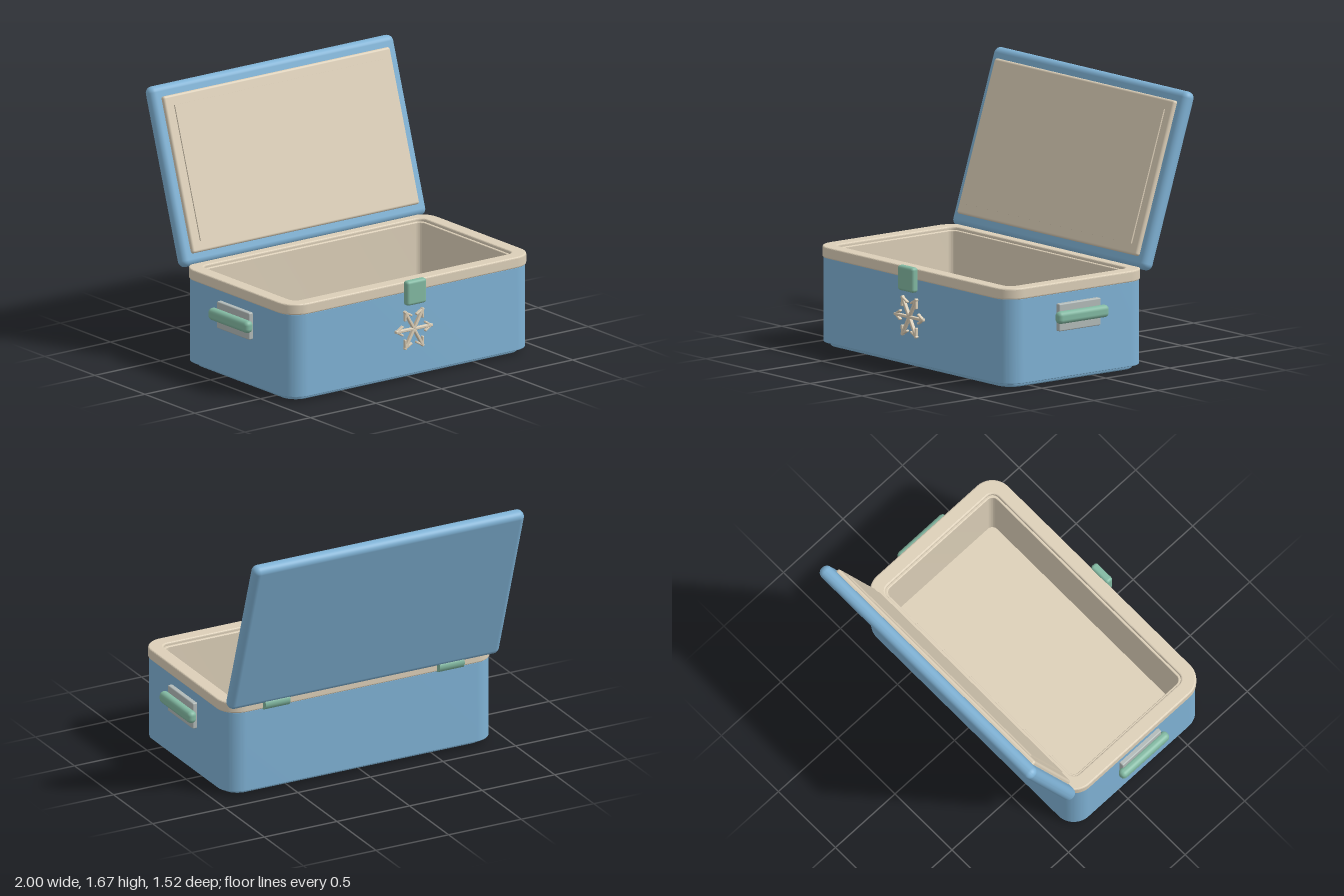
import * as THREE from 'three';
import { toCreasedNormals } from 'three/addons/utils/BufferGeometryUtils.js';
import { RoundedBoxGeometry } from 'three/addons/geometries/RoundedBoxGeometry.js';

const material = (name, color) => {
  const m = new THREE.MeshStandardMaterial({ color });
  m.name = name;
  return m;
};

// Rounded rectangle outline, centred on the origin
function roundedRect(target, w, d, r) {
  const x = w / 2, y = d / 2;
  target.moveTo(-x + r, -y);
  target.lineTo(x - r, -y);
  target.absarc(x - r, -y + r, r, -Math.PI / 2, 0);
  target.lineTo(x, y - r);
  target.absarc(x - r, y - r, r, 0, Math.PI / 2);
  target.lineTo(-x + r, y);
  target.absarc(-x + r, y - r, r, Math.PI / 2, Math.PI);
  target.lineTo(-x, -y + r);
  target.absarc(-x + r, -y + r, r, Math.PI, Math.PI * 1.5);
  return target;
}

// Upright slab from y0 to y1, with an optional hole [w, d, r]
function slab(y0, y1, outer, hole, bevel) {
  const shape = roundedRect(new THREE.Shape(), ...outer);
  if (hole) shape.holes.push(roundedRect(new THREE.Path(), ...hole));
  const geo = new THREE.ExtrudeGeometry(shape, {
    depth: y1 - y0 - 2 * bevel, curveSegments: 12, bevelEnabled: bevel > 0,
    bevelThickness: bevel, bevelSize: bevel, bevelOffset: -bevel, bevelSegments: 3,
  });
  geo.rotateX(-Math.PI / 2);
  geo.translate(0, y0 + bevel, 0);
  return toCreasedNormals(geo, 0.25);
}

export function createModel() {
  const blue = material('blue shell', 0x7fb2d5);
  const cream = material('cream lining', 0xdccfb8);
  const green = material('green fittings', 0x82b9a2);
  const grey = material('grey brackets', 0xb2bab8);

  const model = new THREE.Group();
  model.name = 'coolBox';
  const add = (parent, name, geo, mat, x = 0, y = 0, z = 0) => {
    const mesh = new THREE.Mesh(geo, mat);
    mesh.name = name;
    mesh.position.set(x, y, z);
    parent.add(mesh);
    return mesh;
  };
  const box = (w, h, d, r) => new RoundedBoxGeometry(w, h, d, 4, r);

  // Hollow tub
  const tub = new THREE.Group();
  tub.name = 'tub';
  tub.position.z = 0.16;
  model.add(tub);
  add(tub, 'base', slab(0, 0.06, [1.78, 1.03, 0.11], null, 0.018), blue);
  add(tub, 'shell', slab(0.027, 0.555, [1.85, 1.1, 0.13], [1.7, 0.95, 0.06], 0.006), blue);
  add(tub, 'liner', slab(0.06, 0.6, [1.71, 0.96, 0.06], [1.65, 0.9, 0.04], 0.006), cream);
  add(tub, 'floor', slab(0.05, 0.08, [1.7, 0.95, 0.05], null, 0), cream);
  add(tub, 'rim', slab(0.55, 0.62, [1.864, 1.11, 0.135], [1.68, 0.93, 0.05], 0.01), cream);

  // Open lid, leaning back on its hinges
  const lid = new THREE.Group();
  lid.name = 'lid';
  lid.position.set(0, 1.133, -0.56);
  lid.rotation.x = -Math.PI / 10;
  model.add(lid);
  add(lid, 'lidShell', box(1.864, 1.116, 0.085, 0.04), blue);
  add(lid, 'lidLining', box(1.73, 0.97, 0.05, 0.015), cream, 0, 0, 0.042);
  add(lid, 'lidInset', new THREE.BoxGeometry(1.6, 0.84, 0.02), cream, 0, 0, 0.066);

  // Hinges and side handles
  for (const side of [1, -1]) {
    const hinge = add(model, 'hinge', new THREE.CylinderGeometry(0.04, 0.04, 0.17, 24), green,
      side * 0.6, 0.59, -0.395);
    hinge.rotation.z = Math.PI / 2;

    const handle = new THREE.Group();
    handle.name = side > 0 ? 'leftHandle' : 'rightHandle';
    model.add(handle);
    add(handle, 'bracket', box(0.04, 0.17, 0.325, 0.008), grey, side * 0.934, 0.405, 0.163);
    add(handle, 'grip', box(0.06, 0.076, 0.395, 0.027), green, side * 0.97, 0.41, 0.161);
  }

  // Front latch
  add(model, 'latch', box(0.15, 0.155, 0.05, 0.018), green, 0, 0.553, 0.735);

  // Six-armed snowflake
  const flake = new THREE.Group();
  flake.name = 'snowflake';
  flake.position.set(0, 0.315, 0.722);
  model.add(flake);
  for (let i = 0; i < 6; i++) {
    const arm = new THREE.Group();
    arm.name = 'snowflakeArm';
    arm.rotation.z = i * Math.PI / 3;
    flake.add(arm);
    add(arm, 'spoke', box(0.14, 0.018, 0.024, 0.005), cream, 0.07, 0, 0);
    for (const s of [1, -1]) {
      const barb = add(arm, 'barb', box(0.058, 0.014, 0.022, 0.005), cream, 0.108, s * 0.014, 0);
      barb.rotation.z = -s * 0.56;
    }
  }
  return model;
}
